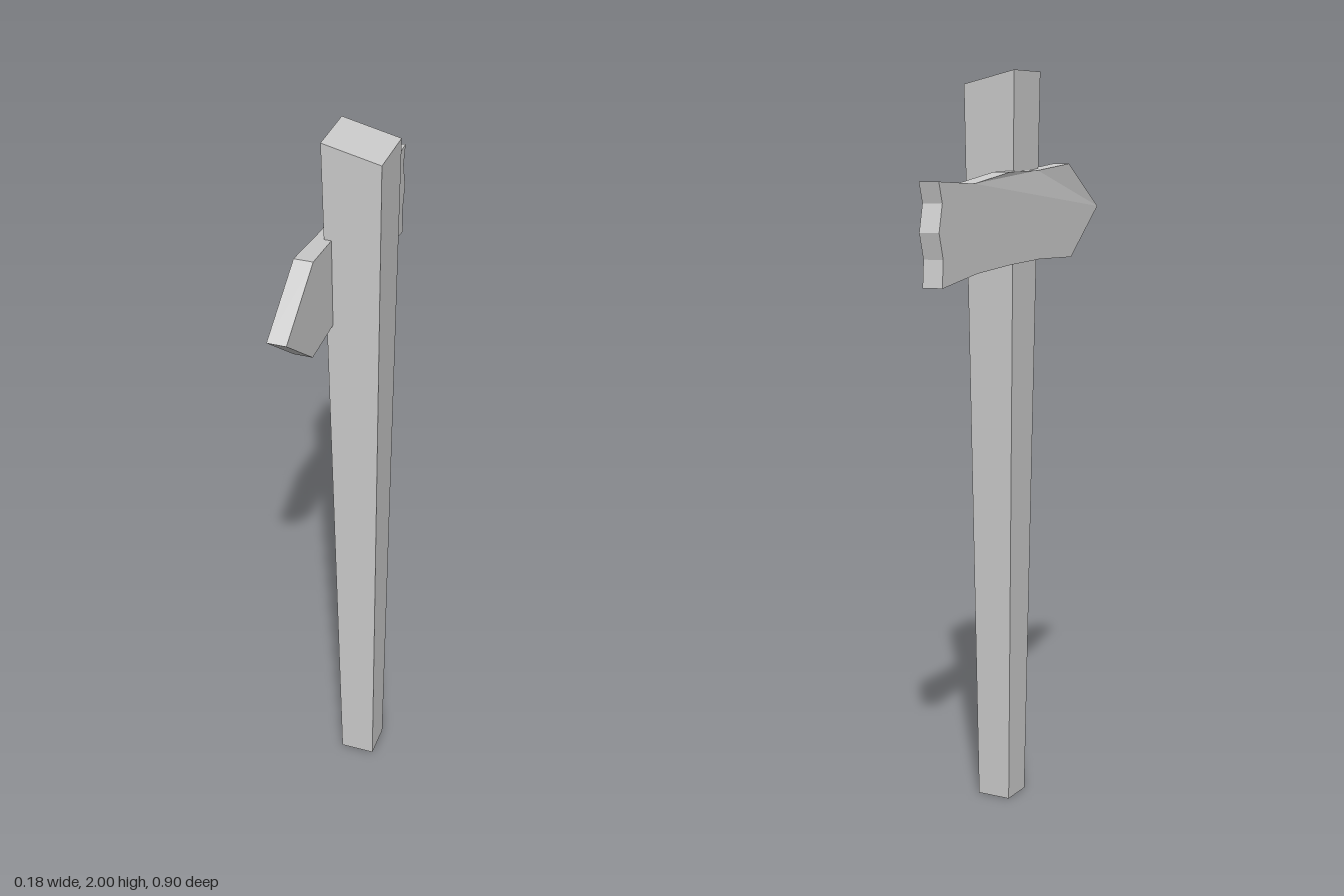
import * as THREE from 'three';

const material = new THREE.MeshStandardMaterial({ color: 0xcccccc, flatShading: true });

function addMesh(group, name, geometry) {
  geometry.computeVertexNormals();
  const mesh = new THREE.Mesh(geometry, material);
  mesh.name = name;
  group.add(mesh);
}

// Square post that widens upwards and has a slanted top
function postGeometry() {
  const geometry = new THREE.BoxGeometry(1, 1, 1).toNonIndexed();
  const p = geometry.attributes.position;
  for (let i = 0; i < p.count; i++) {
    const top = p.getY(i) > 0;
    const right = p.getX(i) < 0;
    const width = top ? 0.149 : 0.095;
    const y = top ? (right ? 2 : 1.966) : 0;
    p.setXYZ(i, 0.012 + p.getX(i) * width, y, 0.068 + p.getZ(i) * width);
  }
  return geometry;
}

// Arrow board outline as [z, y], from the tip along the top and back underneath
const outline = [
  [0.45, 1.638], [0.265, 1.758], [0.09, 1.742], [-0.075, 1.74], [-0.263, 1.714],
  [-0.449, 1.722], [-0.433, 1.67], [-0.449, 1.6], [-0.43, 1.535], [-0.435, 1.466],
  [-0.25, 1.491], [-0.08, 1.502], [0.09, 1.508], [0.282, 1.503],
];

function boardGeometry() {
  const shape = new THREE.Shape(outline.map(([z, y]) => new THREE.Vector2(z, y)));
  const geometry = new THREE.ExtrudeGeometry(shape, { depth: 0.049, bevelEnabled: false });
  geometry.rotateY(-Math.PI / 2).translate(-0.04, 0, 0);
  const p = geometry.attributes.position;
  for (let i = 0; i < p.count; i++) {
    if (p.getX(i) > -0.06) continue;
    const z = p.getZ(i);
    // Broken end is cut at a slight angle
    if (z < -0.4) p.setZ(i, z + 0.011);
    // Shallow dent in the outer top edge
    if (Math.abs(z - 0.09) < 0.01 && p.getY(i) > 1.7) p.setX(i, -0.083);
  }
  return geometry;
}

export function createModel() {
  const group = new THREE.Group();
  group.name = 'signpost';
  addMesh(group, 'post', postGeometry());
  addMesh(group, 'arrowBoard', boardGeometry());
  return group;
}
